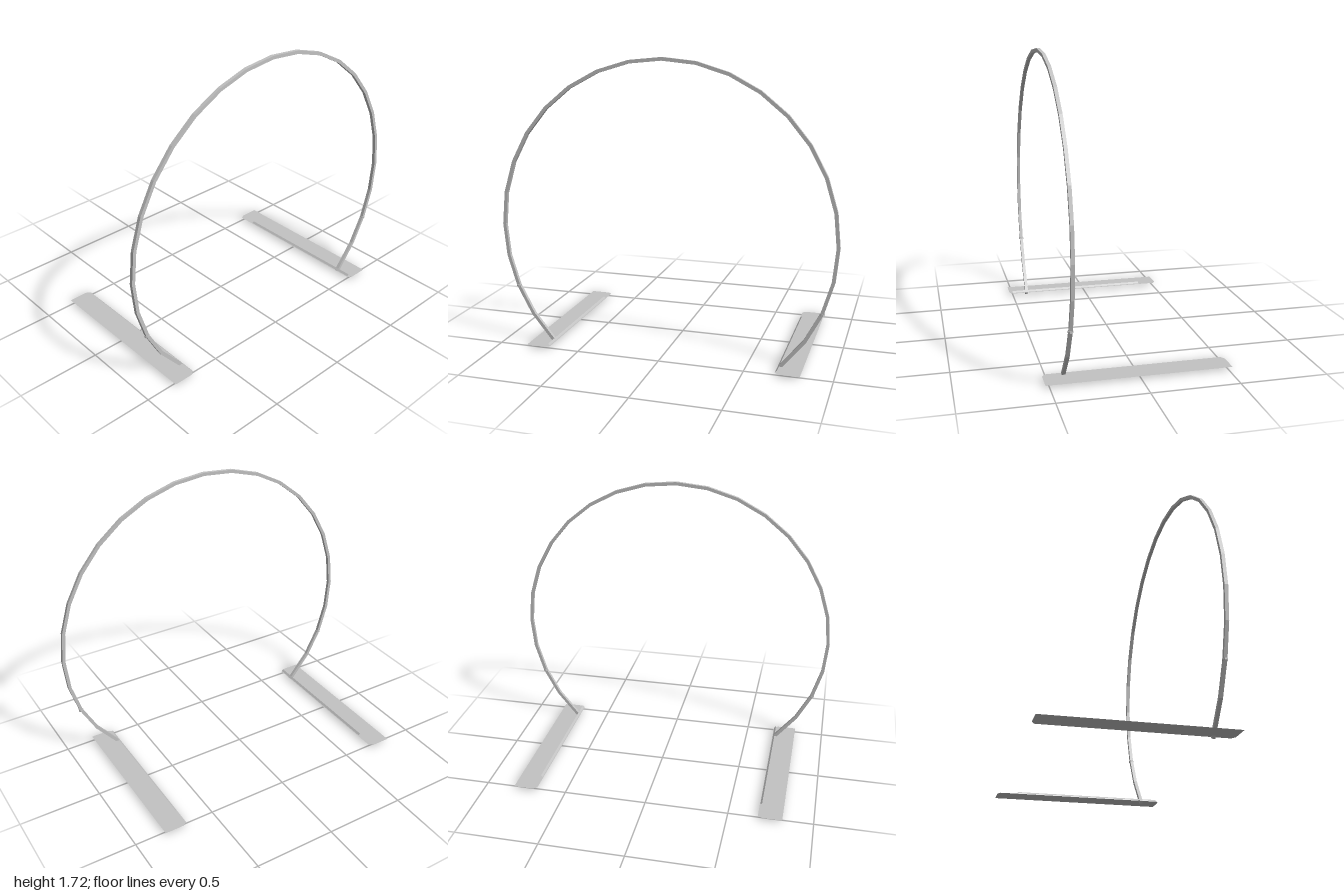
import * as THREE from 'three';

const R = 0.99, CY = 0.725, Z = 0.404, HALF = 0.01;
const STEP = Math.PI / 16;

export function createModel() {
  const group = new THREE.Group();
  const metal = new THREE.MeshStandardMaterial({ color: 0xc2c2c2, side: THREE.DoubleSide, flatShading: true });
  metal.name = 'grey metal';
  const lipMetal = metal.clone();
  lipMetal.name = 'grey metal one sided';
  lipMetal.side = THREE.FrontSide;
  const add = (name, geometry, material = metal) => {
    const mesh = new THREE.Mesh(geometry, material);
    mesh.name = name;
    group.add(mesh);
    return mesh;
  };

  // Open hoop: square section swept along straight segments of a circle
  const pos = [], idx = [];
  for (let i = -12; i <= 12; i++) {
    const a = i * STEP, sx = Math.sin(a), sy = Math.cos(a);
    // the feet run a little past the last segment
    const push = Math.abs(i) === 12 ? 0.022 : 0;
    const ox = -Math.sign(i) * push * 0.63, oy = -push * 0.78;
    for (const [r, z] of [[-1, -1], [1, -1], [1, 1], [-1, 1]]) {
      const d = R + r * HALF;
      pos.push(sx * d + ox, CY + sy * d + oy, Z + z * HALF);
    }
  }
  for (let i = 0; i < 24; i++) {
    for (let j = 0; j < 4; j++) {
      const a = i * 4 + j, b = i * 4 + (j + 1) % 4;
      idx.push(a, b, a + 4, b, b + 4, a + 4);
    }
  }
  idx.push(0, 2, 1, 0, 3, 2, 96, 97, 98, 96, 98, 99);
  const hoop = new THREE.BufferGeometry();
  hoop.setAttribute('position', new THREE.Float32BufferAttribute(pos, 3));
  hoop.setIndex(idx);
  hoop.computeVertexNormals();
  add('hoop', hoop);

  for (const s of [-1, 1]) {
    const side = s > 0 ? 'left' : 'right';

    // Thin foot plate with clipped inner corners
    const shape = new THREE.Shape([
      [0.82, 0.523], [0.703, 0.523], [0.677, 0.506],
      [0.677, -0.505], [0.703, -0.522], [0.82, -0.522],
    ].map(([x, y]) => new THREE.Vector2(s * x, y)));
    add(side + 'FootPlate', new THREE.ShapeGeometry(shape).rotateX(-Math.PI / 2)).position.y = 0.015;

    // Narrow sloping lip along the inner edge
    const lip = new THREE.PlaneGeometry(0.9, 0.015).rotateX(-0.8).rotateY(-s * Math.PI / 2);
    add(side + 'Lip', lip, lipMetal).position.set(s * 0.685, 0.024, 0.052);

    // Small eight-sided collar on the hoop
    const a = s * 10 * STEP;
    add(side + 'Collar', new THREE.CylinderGeometry(0.015, 0.015, 0.011, 8).rotateY(Math.PI / 8))
      .position.set(R * Math.sin(a), 0.343, Z);
  }
  return group;
}
